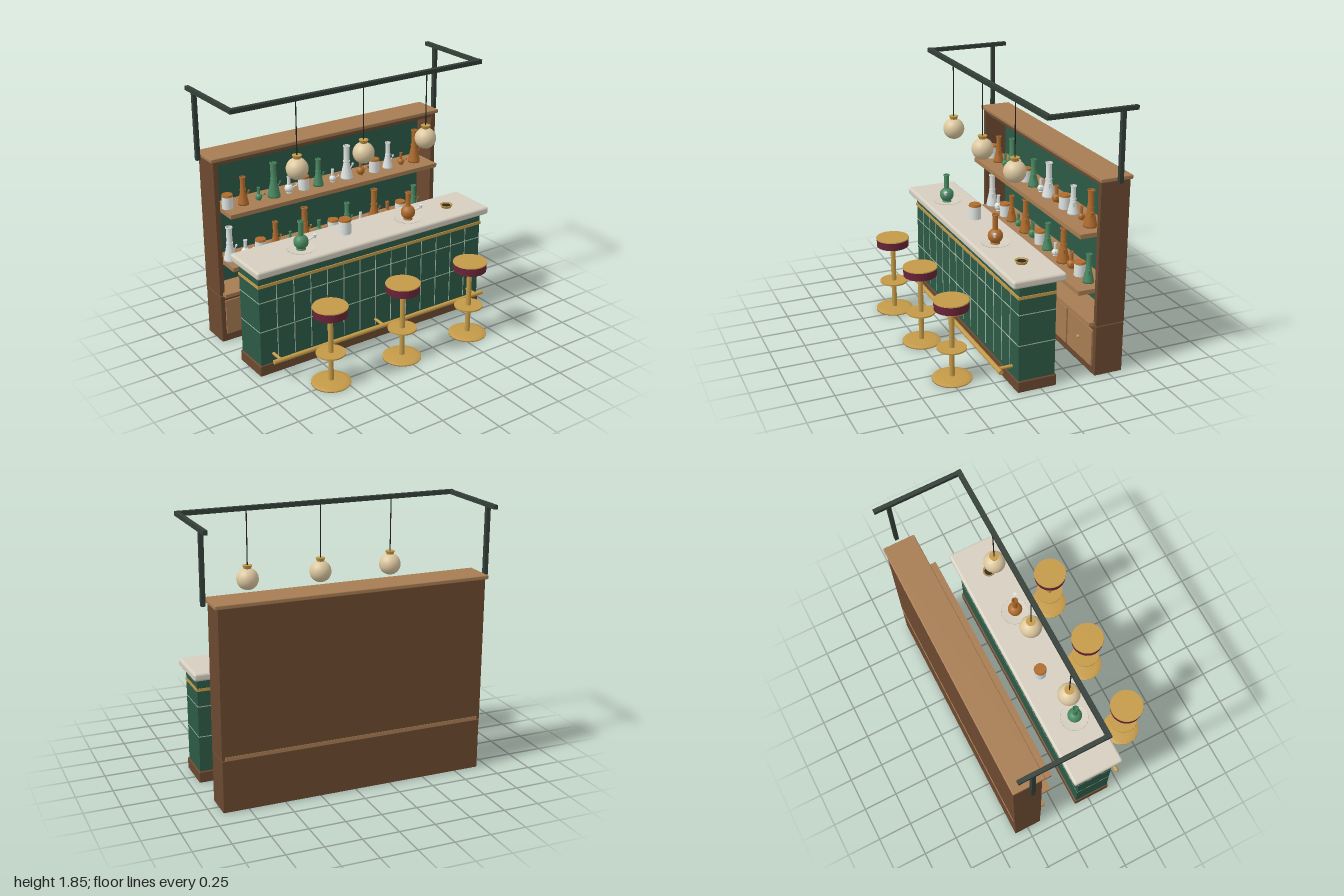
import * as THREE from 'three';
import { RoundedBoxGeometry } from 'three/addons/geometries/RoundedBoxGeometry.js';

const mat = (color) => new THREE.MeshStandardMaterial({ color, side: THREE.DoubleSide });
const M = {
  green: mat(0x2c5a46), grout: mat(0xa9bfa9), dark: mat(0x6b4930), wood: mat(0xa67c52),
  brass: mat(0xc49a48), seat: mat(0x6b2438), stone: mat(0xd6cfc0), frame: mat(0x343f38),
  globe: mat(0xdcc79f), cord: mat(0x222222), copper: mat(0xb06c2c), glass: mat(0x4a8a62),
  white: mat(0xdfe5e2), ash: mat(0x2b2620),
};

function add(parent, name, geo, material, x = 0, y = 0, z = 0) {
  const m = new THREE.Mesh(geo, material);
  m.name = name;
  m.position.set(x, y, z);
  parent.add(m);
  return m;
}

// Box given by its minimum and maximum corners, optionally rounded
function span(parent, name, material, [x0, x1], [y0, y1], [z0, z1], r = 0) {
  const s = [x1 - x0, y1 - y0, z1 - z0];
  const geo = r ? new RoundedBoxGeometry(...s, 3, r) : new THREE.BoxGeometry(...s);
  return add(parent, name, geo, material, (x0 + x1) / 2, (y0 + y1) / 2, (z0 + z1) / 2);
}

const cyl = (rTop, rBottom, h, n = 28) => new THREE.CylinderGeometry(rTop, rBottom, h, n);
const lathe = (pts, n = 24) => new THREE.LatheGeometry(pts.map((p) => new THREE.Vector2(...p)), n);

function group(parent, name, x = 0, y = 0, z = 0) {
  const g = new THREE.Group();
  g.name = name;
  g.position.set(x, y, z);
  parent.add(g);
  return g;
}

// Tilted side stem ending in a small cup
function stem(g, material, from, to, r) {
  const a = new THREE.Vector3(...from), b = new THREE.Vector3(...to);
  add(g, 'stem', new THREE.TubeGeometry(new THREE.LineCurve3(a, b), 1, r, 8), material);
  add(g, 'stemCup', cyl(r * 2.2, r * 1.3, r * 4, 12), material, ...to);
}

// Straight-sided jar with a lid
function jar(parent, x, y, z, r, h) {
  const g = group(parent, 'jar', x, y, z);
  add(g, 'jarBody', cyl(r, r, h * 0.86), M.white, 0, h * 0.43, 0);
  add(g, 'jarLid', cyl(r * 0.95, r * 1.04, h * 0.14), M.copper, 0, h * 0.93, 0);
}

// Flask with a cone-shaped body and a long neck
function coneFlask(parent, material, x, y, z, r, h) {
  const g = group(parent, 'coneFlask', x, y, z), n = r * 0.46;
  add(g, 'flaskBody', lathe([[0, 0], [r, 0], [r, 0.012], [n, h * 0.5], [n, h * 0.96],
    [n * 1.25, h * 0.97], [n * 1.25, h], [n * 0.8, h], [n * 0.8, h * 0.6], [0, h * 0.6]]), material);
  add(g, 'neckCollar', cyl(n * 1.2, n * 1.2, 0.01), material, 0, h * 0.52, 0);
  stem(g, material, [r * 0.55, h * 0.25, 0.005], [r * 0.95, h * 0.25 + 0.04, 0.015], 0.004);
}

// Flask with a round body and a short or long neck
function roundFlask(parent, material, x, y, z, r, h, neck = r * 0.4, cup = material) {
  const g = group(parent, 'roundFlask', x, y, z);
  const ball = new THREE.SphereGeometry(r, 24, 16);
  add(g, 'flaskBall', ball, material, 0, r * 1.05, 0);
  add(g, 'flaskFoot', cyl(r * 0.55, r * 0.65, r * 0.25), material, 0, r * 0.125, 0);
  add(g, 'flaskNeck', lathe([[neck, r * 1.5], [neck, h * 0.95], [neck * 1.25, h * 0.96],
    [neck * 1.25, h], [neck * 0.8, h], [neck * 0.8, h * 0.7], [0, h * 0.7]]), material);
  stem(g, cup, [r * 0.7, r * 1.2, r * 0.35], [r * 1.6, r * 1.75, r * 0.8], r * 0.12);
}

// Row of vessels repeating five kinds; colours: g green, w white, c copper
function vesselRow(parent, y, offset, colours) {
  const z = -0.42, pick = { g: M.glass, w: M.white, c: M.copper };
  [...colours].forEach((c, i) => {
    const x = -0.82 + i * 0.121, m = pick[c];
    switch ((i + offset) % 5) {
      case 0: jar(parent, x, y, z, 0.039, 0.1); break;
      case 1: coneFlask(parent, m, x, y, z, 0.038, 0.2); break;
      case 2: roundFlask(parent, m, x, y, z, 0.024, 0.095); break;
      case 3: coneFlask(parent, m, x, y, z, 0.045, 0.25); break;
      default: roundFlask(parent, m, x, y, z, 0.031, 0.122);
    }
  });
}

function counter(root) {
  const g = group(root, 'counter');
  span(g, 'plinth', M.dark, [-0.935, 0.935], [0, 0.08], [-0.11, 0.165], 0.008);
  span(g, 'counterBody', M.green, [-0.925, 0.925], [0.08, 0.745], [-0.1, 0.158]);
  span(g, 'counterTop', M.stone, [-0.96, 0.96], [0.742, 0.798], [-0.157, 0.215], 0.018);
  span(g, 'brassTrim', M.brass, [-0.93, 0.93], [0.653, 0.674], [-0.102, 0.165]);
  // Tile joints
  for (const y of [0.33, 0.545])
    span(g, 'tileJoint', M.grout, [-0.926, 0.926], [y - 0.003, y + 0.003], [-0.101, 0.16]);
  for (let i = -6; i <= 6; i++)
    span(g, 'tileJoint', M.grout, [i * 0.132 - 0.003, i * 0.132 + 0.003], [0.105, 0.65], [0.15, 0.16]);
  // Foot rail on three brackets
  add(g, 'footRail', cyl(0.016, 0.016, 1.774, 16), M.brass, 0, 0.147, 0.262).rotation.z = Math.PI / 2;
  for (const x of [-0.83, 0, 0.83])
    add(g, 'railBracket', cyl(0.011, 0.011, 0.11, 12), M.brass, x, 0.147, 0.21).rotation.x = Math.PI / 2;
  // Things standing on the counter
  const top = 0.798;
  for (const [x, m] of [[-0.54, M.glass], [0.342, M.copper]]) {
    add(g, 'plate', lathe([[0, 0], [0.06, 0], [0.098, 0.009], [0.096, 0.012], [0.06, 0.005], [0, 0.005]], 36),
      M.stone, x, top, 0.063);
    roundFlask(g, m, x, top + 0.005, 0.065, 0.051, 0.205, 0.018, M.white);
  }
  jar(g, -0.15, top, 0.005, 0.043, 0.108);
  add(g, 'ashtray', lathe([[0, 0], [0.035, 0], [0.045, 0.02], [0.036, 0.02], [0.03, 0.012]]), M.brass, 0.705, top, 0.042);
  add(g, 'ashtrayBowl', cyl(0.033, 0.033, 0.004), M.ash, 0.705, top + 0.013, 0.042);
}

function backBar(root) {
  const g = group(root, 'backBar');
  span(g, 'baseCabinet', M.dark, [-0.925, 0.925], [0, 0.358], [-0.6, -0.395], 0.005);
  span(g, 'ledge', M.wood, [-0.904, 0.904], [0.358, 0.384], [-0.604, -0.352]);
  for (const s of [-1, 1])
    span(g, 'sidePanel', M.dark, s < 0 ? [-0.925, -0.89] : [0.89, 0.925], [0.362, 1.355], [-0.6, -0.395]);
  span(g, 'backPanel', M.dark, [-0.9, 0.9], [0.38, 1.355], [-0.6, -0.575]);
  span(g, 'greenPanel', M.green, [-0.89, 0.89], [0.384, 1.33], [-0.576, -0.56]);
  span(g, 'headRail', M.dark, [-0.89, 0.89], [1.325, 1.355], [-0.576, -0.4]);
  span(g, 'cornice', M.wood, [-0.945, 0.945], [1.353, 1.38], [-0.61, -0.381], 0.006);
  for (const y of [0.575, 0.967])
    span(g, 'shelf', M.wood, [-0.866, 0.866], [y, y + 0.03], [-0.565, -0.29]);
  // Cabinet doors with knobs
  for (let i = -2; i <= 2; i++) {
    const x = i * 0.36;
    span(g, 'door', M.wood, [x - 0.17, x + 0.17], [0.06, 0.32], [-0.4, -0.384]);
    add(g, 'doorKnob', new THREE.SphereGeometry(0.012, 12, 8), M.brass, x, 0.2, -0.376);
  }
  vesselRow(g, 0.997, 0, 'wcggwwgwwcwwcc');
  vesselRow(g, 0.605, 3, 'wwwcgcgwgwccwg');
}

function stool(root, x) {
  const g = group(root, 'stool', x, 0, 0.477);
  add(g, 'stoolBase', lathe([[0, 0], [0.134, 0], [0.134, 0.01], [0.1, 0.016], [0.02, 0.022], [0, 0.022]], 36), M.brass);
  add(g, 'stoolPole', cyl(0.018, 0.018, 0.49, 16), M.brass, 0, 0.262, 0);
  add(g, 'footDisc', cyl(0.1, 0.1, 0.01, 32), M.brass, 0, 0.225, 0);
  add(g, 'seatCushion', cyl(0.117, 0.115, 0.058, 36), M.seat, 0, 0.535, 0);
  add(g, 'seatTop', cyl(0.118, 0.12, 0.007, 36), M.brass, 0, 0.567, 0);
}

function canopy(root) {
  const g = group(root, 'canopy');
  span(g, 'frontBeam', M.frame, [-1, 1], [1.815, 1.845], [-0.006, 0.026]);
  for (const s of [-1, 1]) {
    add(g, 'sideBeam', new THREE.BoxGeometry(0.028, 0.028, 0.6), M.frame, s * 0.985, 1.829, -0.295);
    add(g, 'canopyPost', new THREE.BoxGeometry(0.028, 0.47, 0.028), M.frame, s * 0.985, 1.59, -0.494);
  }
  for (const x of [-0.523, 0, 0.523]) {
    const p = group(g, 'pendantLamp', x, 0, 0.011);
    add(p, 'cord', cyl(0.004, 0.004, 0.38, 8), M.cord, 0, 1.63, 0);
    add(p, 'lampCap', cyl(0.033, 0.022, 0.03, 20), M.brass, 0, 1.434, 0);
    add(p, 'lampGlobe', new THREE.SphereGeometry(0.075, 32, 20), M.globe, 0, 1.355, 0);
  }
}

export function createModel() {
  const root = new THREE.Group();
  root.name = 'bar';
  counter(root);
  backBar(root);
  for (const x of [-0.58, 0, 0.58]) stool(root, x);
  canopy(root);
  return root;
}
